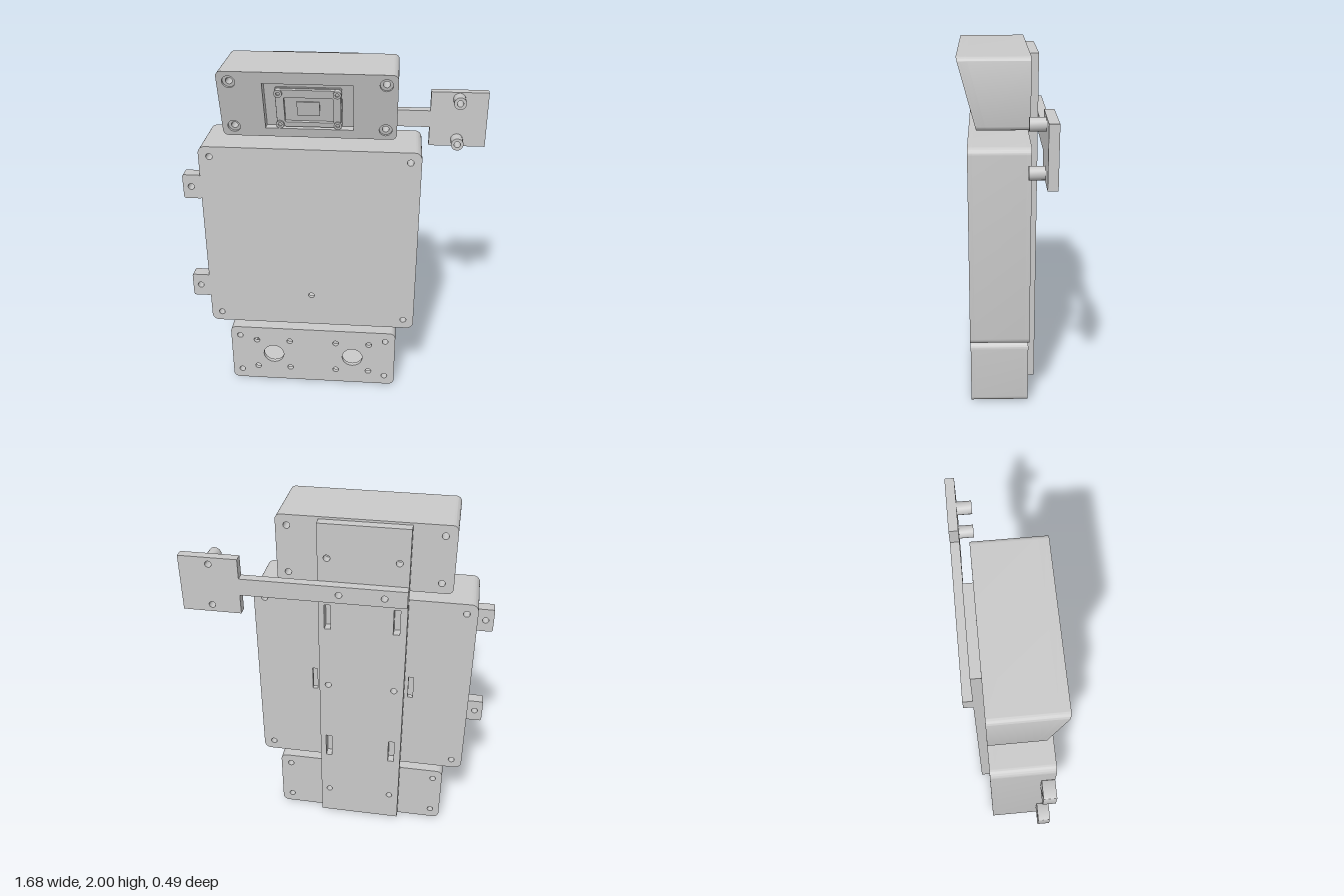
import * as THREE from 'three';
import { toCreasedNormals } from 'three/addons/utils/BufferGeometryUtils.js';

const HOLE = 0.018;

// rounded rectangle outline from its limits
function rect(x0, x1, y0, y1, r = 0, Kind = THREE.Shape) {
  const s = new Kind();
  if (!r) {
    s.moveTo(x0, y0).lineTo(x1, y0).lineTo(x1, y1).lineTo(x0, y1).closePath();
    return s;
  }
  s.moveTo(x0 + r, y0);
  s.absarc(x1 - r, y0 + r, r, -Math.PI / 2, 0);
  s.absarc(x1 - r, y1 - r, r, 0, Math.PI / 2);
  s.absarc(x0 + r, y1 - r, r, Math.PI / 2, Math.PI);
  s.absarc(x0 + r, y0 + r, r, Math.PI, Math.PI * 1.5);
  return s;
}

function circle(x, y, r, Kind = THREE.Path) {
  const c = new Kind();
  c.absarc(x, y, r, 0, Math.PI * 2);
  return c;
}

const slot = (x, y, w, h) => rect(x - w / 2, x + w / 2, y - h / 2, y + h / 2, 0, THREE.Path);
const grid = (xs, ys) => xs.flatMap((x) => ys.map((y) => [x, y]));
const drill = (points, r = HOLE) => points.map(([x, y]) => circle(x, y, r));

// cavity outline with notched corners, leaving screw posts
function cavity(x0, x1, y0, y1, wall = 0.025, post = 0.11) {
  const p = new THREE.Path();
  const a = x0 + wall, b = x1 - wall, c = y0 + wall, d = y1 - wall;
  const pts = [[x0 + post, c], [x1 - post, c], [x1 - post, y0 + post], [b, y0 + post],
    [b, y1 - post], [x1 - post, y1 - post], [x1 - post, d], [x0 + post, d],
    [x0 + post, y1 - post], [a, y1 - post], [a, y0 + post], [x0 + post, y0 + post]];
  p.setFromPoints(pts.map(([x, y]) => new THREE.Vector2(x, y)));
  p.closePath();
  return p;
}

export function createModel() {
  const model = new THREE.Group();
  model.name = 'deviceStack';
  const grey = new THREE.MeshStandardMaterial({ color: 0xc9c9c9 });
  grey.name = 'lightGrey';

  // slab between z0 and z1; "adjust" may move z as a function of (y, z)
  function slab(name, shape, holes, z0, z1, adjust, parent = model) {
    shape.holes.push(...holes);
    let g = new THREE.ExtrudeGeometry(shape, { depth: z1 - z0, bevelEnabled: false, curveSegments: 10 });
    g.translate(0, 0, z0);
    if (adjust) {
      const p = g.attributes.position;
      for (let i = 0; i < p.count; i++) p.setZ(i, adjust(p.getY(i), p.getZ(i)));
    }
    g.deleteAttribute('normal');
    g = toCreasedNormals(g, 0.6);
    const mesh = new THREE.Mesh(g, grey);
    mesh.name = name;
    parent.add(mesh);
  }

  // hollow box: front panel, wall ring, back panel
  function enclosure(name, [x0, x1, y0, y1], r, screws, frontHoles, backHoles) {
    const group = new THREE.Group();
    group.name = name;
    model.add(group);
    const outline = () => rect(x0, x1, y0, y1, r);
    slab(name + 'Front', outline(), [...drill(screws), ...frontHoles], 0.165, 0.19, null, group);
    slab(name + 'Walls', outline(), [...drill(screws), cavity(x0, x1, y0, y1)], -0.115, 0.165, null, group);
    slab(name + 'Back', outline(), [...drill(screws), ...backHoles], -0.14, -0.115, null, group);
  }

  // central box
  enclosure('mainBox', [-0.738, 0.472, 0.434, 1.565], 0.04,
    grid([-0.678, 0.412], [0.492, 1.507]),
    drill([[-0.133, 0.637]], 0.017),
    [slot(0.142, 0.998, 0.028, 0.14), slot(-0.408, 0.998, 0.028, 0.14)]);

  // side tabs
  for (const y of [0.678, 1.323]) {
    slab('sideTab', rect(-0.838, -0.736, y - 0.071, y + 0.071, 0.012),
      drill([[-0.792, y]]), 0.12, 0.189);
  }

  // lower box with two large round openings
  const lowerFront = [...drill([[-0.374, 0.192], [0.112, 0.192]], 0.062),
    ...drill(grid([-0.476, -0.273, 0.01, 0.212], [0.092, 0.292]))];
  enclosure('lowerBox', [-0.633, 0.372, 0, 0.384], 0.035,
    grid([-0.578, 0.312], [0.062, 0.322]), lowerFront,
    drill([[-0.318, 0.192], [0.057, 0.192]]));

  // upper box with a front that leans out toward the top
  const slope = 0.1 / 0.38;
  const lean = (y, z) => z + slope * (y - 1.618);
  const top = () => rect(-0.598, 0.332, 1.618, 2, 0.03);
  const topScrews = grid([-0.535, 0.272], [1.676, 1.941]);
  const pocket = () => rect(-0.365, 0.104, 1.67, 1.935, 0, THREE.Path);
  slab('upperBoxBody', top(), drill(topScrews), -0.14, 0.09, (y, z) => (z > 0 ? lean(y, z) : z));
  slab('upperBoxPanel', top(), [...drill(topScrews), pocket()], 0.09, 0.125, lean);
  slab('upperBoxFace', top(), [...drill(topScrews, 0.034), pocket()], 0.125, 0.143, lean);

  // sensor module in the pocket
  slab('sensorBoard', rect(-0.308, 0.042, 1.674, 1.902, 0.01), [], 0.088, 0.105, lean);
  slab('sensorFrame', rect(-0.303, 0.037, 1.678, 1.897, 0.02),
    [rect(-0.26, -0.003, 1.706, 1.852, 0.008, THREE.Path)], 0.105, 0.13, lean);
  slab('sensorWindow', rect(-0.195, -0.075, 1.741, 1.823), [], 0.105, 0.117, lean);
  for (const [x, y] of grid([-0.287, 0.02], [1.693, 1.877])) {
    slab('sensorScrew', circle(x, y, 0.022, THREE.Shape), drill([[x, y]], 0.01), 0.105, 0.142, lean);
  }

  // long back plate with screw holes and strap slots
  const columns = [-0.318, 0.057];
  slab('backPlate', rect(-0.373, 0.107, 0.012, 1.988),
    [...drill(grid(columns, [0.192, 0.998, 1.798])), ...drill([[-0.253, 1.616], [-0.013, 1.616]]),
      ...grid(columns, [0.548, 1.448]).map(([x, y]) => slot(x, y, 0.035, 0.15))],
    -0.192, -0.14);

  // side arm ending in a square paddle
  const arm = new THREE.Shape();
  arm.setFromPoints([[-0.373, 1.568], [0.517, 1.568], [0.517, 1.457], [0.838, 1.457],
    [0.838, 1.777], [0.517, 1.777], [0.517, 1.665], [-0.373, 1.665]].map(([x, y]) => new THREE.Vector2(x, y)));
  arm.closePath();
  const posts = [[0.675, 1.497], [0.675, 1.738]];
  slab('sideArm', arm, [...drill([[-0.253, 1.616], [-0.013, 1.616]]), ...drill(posts)], -0.243, -0.192);
  for (const [x, y] of posts) {
    slab('standoff', circle(x, y, 0.035, THREE.Shape), drill([[x, y]]), -0.192, -0.112);
  }

  return model;
}
